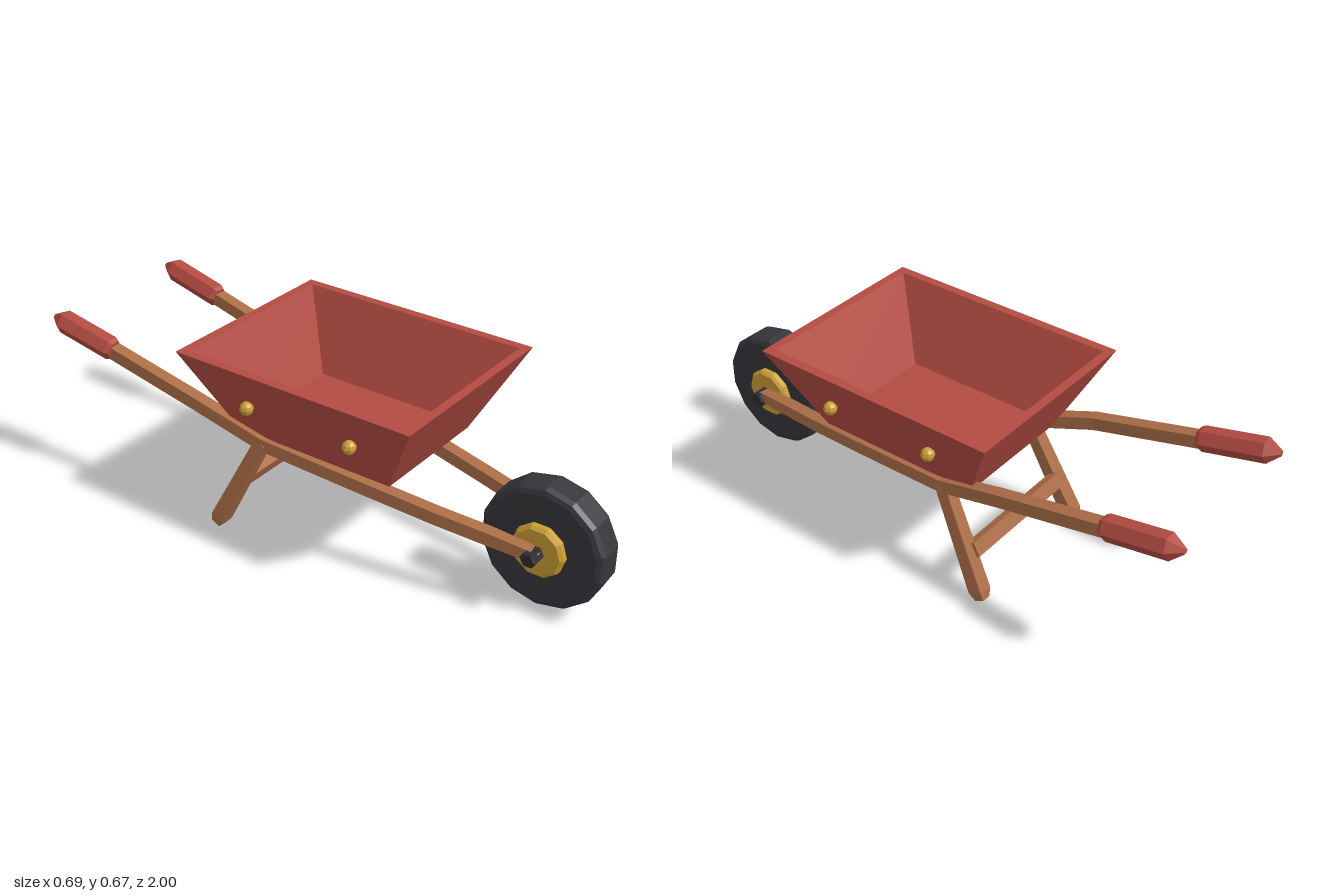
import * as THREE from 'three';

const V = (x, y, z) => new THREE.Vector3(x, y, z);

// Skin a list of rings (counter-clockwise about the travel direction) and cap both ends.
function loft(rings) {
  const n = rings[0].length, pos = [], idx = [];
  rings.forEach(r => r.forEach(p => pos.push(p.x, p.y, p.z)));
  for (let i = 0; i < rings.length - 1; i++) {
    for (let j = 0; j < n; j++) {
      const a = i * n + j, b = i * n + (j + 1) % n;
      idx.push(a, b, b + n, a, b + n, a + n);
    }
  }
  const last = (rings.length - 1) * n;
  for (let j = 1; j < n - 1; j++) {
    idx.push(0, j + 1, j);
    idx.push(last, last + j, last + j + 1);
  }
  const g = new THREE.BufferGeometry();
  g.setAttribute('position', new THREE.Float32BufferAttribute(pos, 3));
  g.setIndex(idx);
  const flat = g.toNonIndexed();
  flat.computeVertexNormals();
  return flat;
}

// Sweep a regular polygon along points; each point is [x, y, z, radius].
function sweep(points, sides, phase, ref) {
  const c = points.map(p => V(p[0], p[1], p[2]));
  return loft(c.map((p, i) => {
    const t = c[Math.min(i + 1, c.length - 1)].clone().sub(c[Math.max(i - 1, 0)]).normalize();
    const side = ref.clone().cross(t).normalize(), up = t.clone().cross(side);
    return Array.from({ length: sides }, (_, k) => {
      const a = phase + k / sides * Math.PI * 2, r = points[i][3];
      return p.clone().addScaledVector(side, r * Math.cos(a)).addScaledVector(up, r * Math.sin(a));
    });
  }));
}

// Turned part lying along x; the profile is half of a symmetric one, as [radius, x].
function turned(half, sides, phase) {
  const all = [...half, ...half.slice().reverse().map(([r, y]) => [r, -y])];
  const g = new THREE.LatheGeometry(all.map(([r, y]) => new THREE.Vector2(r, y)), sides, phase);
  return g.rotateZ(Math.PI / 2);
}

export function createModel() {
  const mat = (name, color) => {
    const m = new THREE.MeshStandardMaterial({ color, flatShading: true });
    m.name = name;
    return m;
  };
  const red = mat('red paint', 0xb24b42);
  const wood = mat('wood', 0xab6d47);
  const rubber = mat('black rubber', 0x36363c);
  const iron = mat('dark iron', 0x2c2d32);
  const brass = mat('yellow metal', 0xcb9e34);

  const model = new THREE.Group();
  model.name = 'wheelbarrow';
  const add = (name, geometry, material, parent = model) => {
    const m = new THREE.Mesh(geometry, material);
    m.name = name;
    parent.add(m);
    return m;
  };

  // Tray: outside up, over the rim, down the inside
  const rect = (hx, y, z0, z1) => [V(hx, y, z1), V(hx, y, z0), V(-hx, y, z0), V(-hx, y, z1)];
  add('tray', loft([
    rect(0.222, 0.387, -0.23, 0.357),
    rect(0.346, 0.672, -0.375, 0.505),
    rect(0.315, 0.672, -0.345, 0.475),
    rect(0.205, 0.41, -0.218, 0.338),
  ]), red);

  // Wheel
  const wheel = new THREE.Group();
  wheel.name = 'wheel';
  wheel.position.set(0, 0.246, 0.791);
  model.add(wheel);
  add('tire', turned([[0, -0.05], [0.1, -0.053], [0.188, -0.057], [0.204, -0.051], [0.2125, -0.036]],
    14, Math.PI / 2), rubber, wheel);
  add('hub', turned([[0, -0.08], [0.08, -0.08], [0.09, -0.07]], 10, 0), brass, wheel);
  add('axle', turned([[0, -0.133], [0.022, -0.133], [0.028, -0.127]], 6, 0), iron, wheel);

  const UP = V(0, 1, 0), FRONT = V(0, 0, 1), R = 0.031, Q = Math.PI / 4;
  for (const s of [1, -1]) {
    const mirror = pts => pts.map(([x, y, z, r]) => [s * x, y, z, r]);
    const label = s > 0 ? 'left' : 'right';

    // Bent rail from the axle to the handle
    add(label + 'Rail', sweep(mirror([
      [0.093, 0.249, 0.81, 0.018], [0.096, 0.251, 0.79, 0.027], [0.117, 0.27, 0.65, R],
      [0.145, 0.291, 0.48, R], [0.183, 0.328, 0.2, R], [0.224, 0.371, -0.13, R],
      [0.253, 0.449, -0.37, R], [0.268, 0.541, -0.77, R],
    ]), 4, Q, UP), wood);

    // Six-sided grip with a pointed end
    add(label + 'Grip', sweep(mirror([
      [0.267, 0.537, -0.735, 0.033], [0.268, 0.54, -0.75, 0.041],
      [0.277, 0.584, -0.955, 0.041], [0.278, 0.592, -0.998, 0.01],
    ]), 6, 0, UP), red);

    // Splayed leg with a chamfered foot
    add(label + 'Leg', sweep(mirror([
      [0.226, 0.375, -0.13, 0.03], [0.257, 0.043, -0.297, 0.036], [0.259, 0.015, -0.311, 0.024],
    ]), 4, Q, FRONT), wood);

    // Bolts through the tray sides
    for (const z of [0.265, -0.13]) {
      const bolt = add(label + 'Bolt', new THREE.SphereGeometry(0.023, 8, 6), brass);
      bolt.position.set(s * 0.302, 0.53, z);
    }
  }

  // Brace behind the legs
  const brace = add('crossBrace', new THREE.BoxGeometry(0.47, 0.05, 0.035), wood);
  brace.position.set(0, 0.17, -0.252);
  brace.rotation.x = 0.475;

  return model;
}
